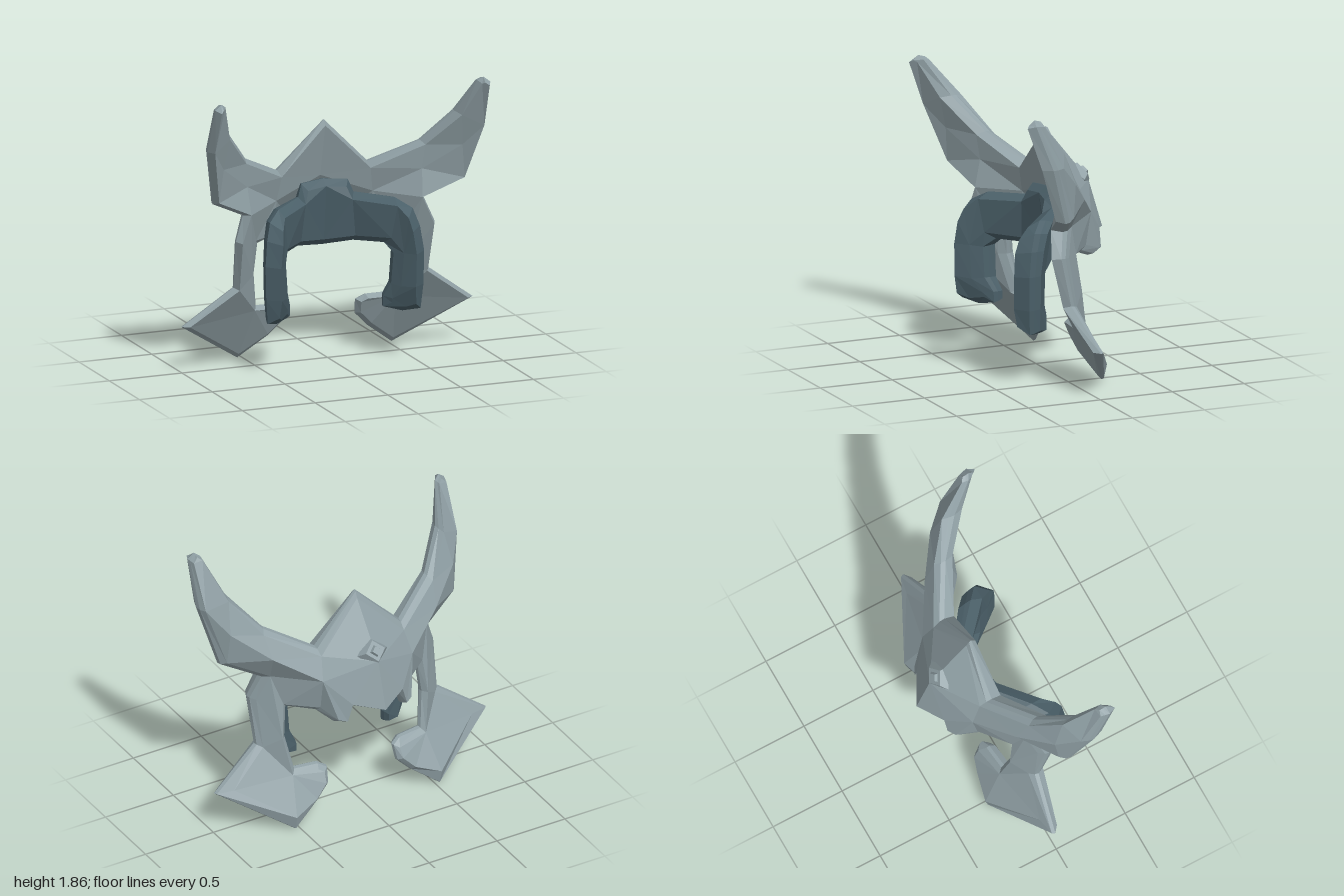
import * as THREE from 'three';

// Outline points run clockwise from the top centre to the bottom centre of the left half:
// [x, y, front z, back z, own back inset, own front inset]. Interior points need the first four.
const CREST = [
  [0, 1.55, -0.035, -0.1], [0.31, 1.24, -0.02, -0.17], [0.6, 1.39, 0.14, 0.01],
  [0.775, 1.6, 0.31, 0.16, 0.02], [0.865, 1.83, 0.43, 0.35, 0.01], [0.9, 1.855, 0.45, 0.37, 0.01],
  [0.945, 1.82, 0.47, 0.36, 0.015], [0.95, 1.52, 0.37, 0.22, 0.025], [0.865, 1.14, 0.24, 0.11],
  [0.62, 1.02, 0.16, 0.01], [0.683, 0.86, 0.185, 0.06], [0.67, 0.54, 0.1, 0.0],
  [1, 0.3, 0.03, -0.05, 0.07], [0.53, 0, -0.19, -0.255, 0.08], [0.34, 0.14, -0.13, -0.22],
  [0.25, 0.23, -0.11, -0.2], [0.24, 0.33, -0.08, -0.165], [0.3, 0.365, -0.06, -0.145],
  [0.46, 0.37, -0.04, -0.13], [0.5, 0.6, 0.03, -0.08], [0.48, 0.8, 0.03, -0.05],
  [0.34, 0.8, -0.08, -0.2], [0.28, 0.755, -0.16, -0.325], [0.2, 0.755, -0.22, -0.355, 0.025],
  [0.16, 0.86, -0.22, -0.36], [0, 0.84, -0.31, -0.46, 0.015],
];
const CREST_INNER = [
  [0, 1.17, -0.12, -0.365], [0.33, 1.05, -0.05, -0.235], [0.6, 1.21, 0.12, -0.07], [0.82, 1.38, 0.26, 0.09],
];
const CREST_PANELS = [
  [0, 1, 26], [26, 1, 27], [27, 1, 28], [27, 28, 9], [27, 9, 20], [27, 20, 21], [27, 21, 22],
  [27, 22, 23, 24], [26, 27, 24], [26, 24, 25],
  [1, 2, 28], [28, 2, 29], [28, 29, 8], [28, 8, 9], [2, 3, 29], [3, 7, 29], [29, 7, 8], [3, 4, 7], [4, 5, 6, 7],
  [9, 10, 19, 20], [10, 11, 19], [19, 11, 18],
  [11, 12, 18], [12, 13, 18], [18, 13, 14], [18, 14, 15], [18, 15, 16, 17],
];

const BAND = [
  [0, 1.16, -0.02, -0.13], [0.16, 1.145, 0, -0.11], [0.19, 1.065, 0.03, -0.1],
  [0.4, 1.05, 0.23, 0.06], [0.49, 0.99, 0.31, 0.13, 0.02, 0.07], [0.525, 0.88, 0.345, 0.17, 0.02, 0.08],
  [0.545, 0.72, 0.36, 0.2, 0.02, 0.08], [0.54, 0.5, 0.36, 0.2, 0.02, 0.08], [0.525, 0.34, 0.34, 0.2, 0.02, 0.06],
  [0.43, 0.315, 0.27, 0.12], [0.32, 0.34, 0.2, 0.08], [0.32, 0.41, 0.21, 0.08],
  [0.355, 0.5, 0.27, 0.11], [0.37, 0.7, 0.28, 0.11], [0.335, 0.755, 0.2, 0.04],
  [0.19, 0.745, 0.015, -0.1], [0, 0.72, -0.06, -0.15],
];
const BAND_PANELS = [
  [2, 15, 16, 0, 1], [2, 3, 14, 15], [3, 4, 13, 14], [4, 5, 13], [5, 6, 13],
  [6, 7, 12, 13], [7, 11, 12], [7, 8, 9, 11], [9, 10, 11],
];

// Bevelled, mirrored shell: front and back panels joined through a wider middle rim.
function shell(half, inner, panels, frontInset, backInset) {
  const n = half.length, N = 2 * n - 2;
  const flip = ([x, ...rest]) => [-x, ...rest];
  const rim = [...half, ...half.slice(1, -1).reverse().map(flip)];

  // Inward mitre direction at each rim point
  const edge = (a, b) => new THREE.Vector2(b[1] - a[1], a[0] - b[0]).normalize();
  const inward = rim.map((p, i) => {
    const a = edge(rim[(i + N - 1) % N], p), b = edge(p, rim[(i + 1) % N]);
    return a.clone().add(b).divideScalar(Math.max(0.6, 1 + a.dot(b)));
  });
  const layer = (inset, t, own) => rim.map((p, i) => {
    const d = p[own] ?? inset;
    return [p[0] + inward[i].x * d, p[1] + inward[i].y * d, THREE.MathUtils.lerp(p[2], p[3], t)];
  });
  const front = layer(frontInset, 0, 5), mid = layer(0, 0.45), low = layer(0.006, 0.7), back = layer(backInset, 1, 4);

  const pos = [];
  const tri = (a, b, c) => pos.push(...a, ...b, ...c);
  // Panels on both faces and both halves, turned to face outwards
  for (const [ring, zi, facing] of [[front, 2, 1], [back, 3, -1]]) {
    for (const side of [1, -1]) {
      const at = (i) => {
        if (i >= n) { const q = inner[i - n]; return [q[0] * side, q[1], q[zi]]; }
        return ring[side > 0 ? i : (N - i) % N];
      };
      for (const panel of panels) {
        const p = panel.map(at);
        for (let k = 1; k < p.length - 1; k++) {
          const [a, b, c] = [p[0], p[k], p[k + 1]];
          const area = (b[0] - a[0]) * (c[1] - a[1]) - (b[1] - a[1]) * (c[0] - a[0]);
          if (area * facing > 0) tri(a, b, c); else tri(a, c, b);
        }
      }
    }
  }
  // Bevelled sides
  for (const [f, m] of [[front, mid], [mid, low], [low, back]]) {
    for (let i = 0; i < N; i++) {
      const j = (i + 1) % N;
      tri(f[i], f[j], m[j]);
      tri(f[i], m[j], m[i]);
    }
  }
  const geo = new THREE.BufferGeometry();
  geo.setAttribute('position', new THREE.Float32BufferAttribute(pos, 3));
  geo.computeVertexNormals();
  return geo;
}

export function createModel() {
  const model = new THREE.Group();
  model.name = 'hornedCrest';
  const steel = new THREE.MeshStandardMaterial({ color: 0x8f9fa4, flatShading: true });
  steel.name = 'paleSteel';
  const slate = new THREE.MeshStandardMaterial({ color: 0x4a5f68, flatShading: true });
  slate.name = 'darkSlate';

  const add = (name, geo, mat) => {
    const mesh = new THREE.Mesh(geo, mat);
    mesh.name = name;
    model.add(mesh);
    return mesh;
  };

  // Horned plate with arms and pointed feet
  add('hornedPlate', shell(CREST, CREST_INNER, CREST_PANELS, 0.025, 0.035), steel);
  // Inner clasp with hooked ends
  add('innerClasp', shell(BAND, [], BAND_PANELS, 0.04, 0.02), slate);

  // Stepped diamond stud sunk into the back ridge
  [['studBase', 0.07, 0.11, 0.05, 0], ['studGem', 0.03, 0.045, 0.03, 0.03]].forEach(([name, top, bottom, h, lift]) => {
    const stud = add(name, new THREE.CylinderGeometry(top, bottom, h, 4), steel);
    stud.rotation.x = -0.95;
    stud.position.set(0, 1.215 + lift * 0.58, -0.31 - lift * 0.81);
  });
  return model;
}
